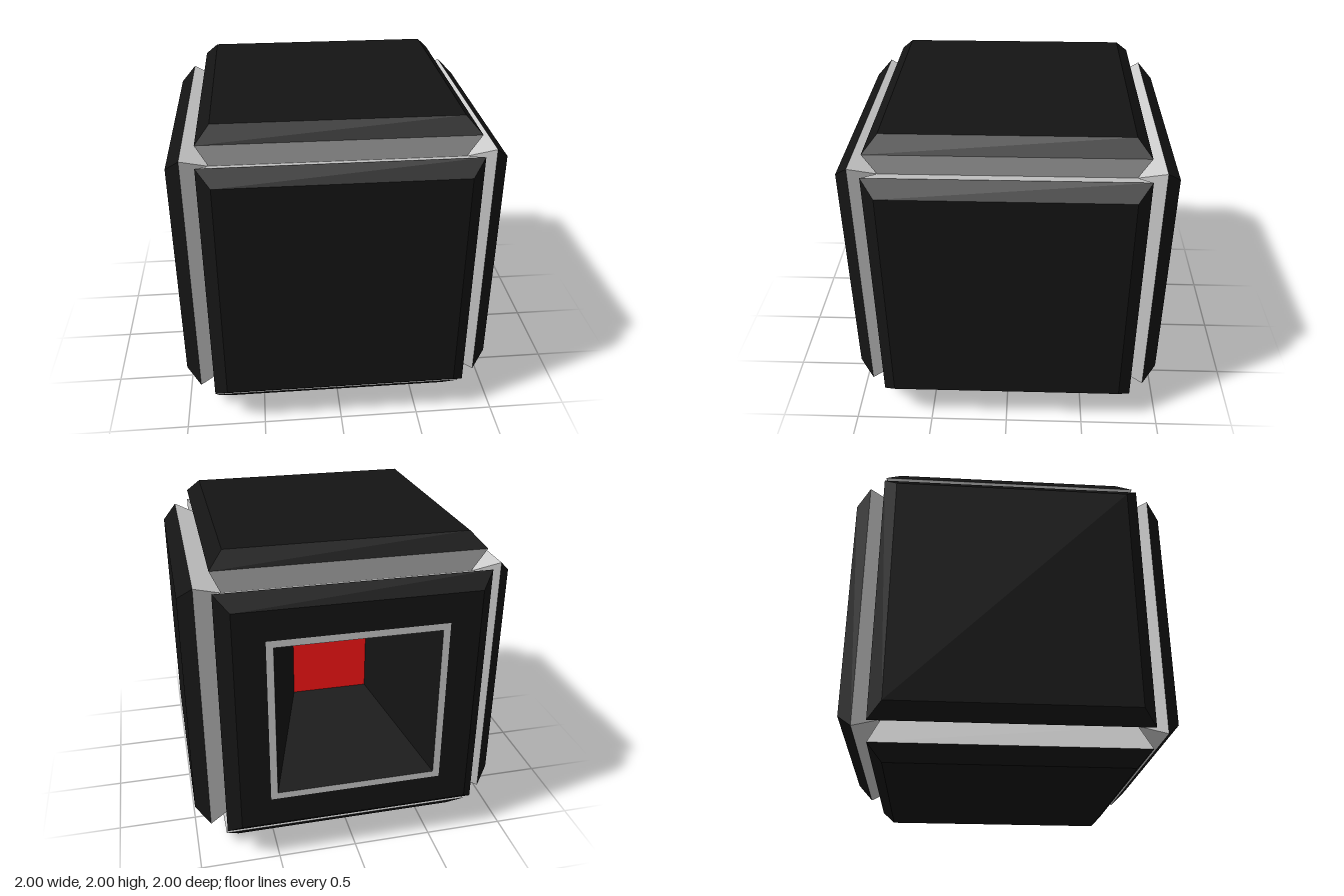
import * as THREE from 'three';

const black = new THREE.MeshStandardMaterial({ color: 0x141414, flatShading: true });
const grey = new THREE.MeshStandardMaterial({ color: 0xcccccc, flatShading: true });
const red = new THREE.MeshStandardMaterial({ color: 0xfc1515, flatShading: true });

// Joins square rings [half size, distance along +z]; optionally closes the last one.
function squareLoft(rings, cap = false) {
  const corners = [[-1, -1], [1, -1], [1, 1], [-1, 1]];
  const point = ([half, z], i) => {
    const [x, y] = corners[i % 4];
    return [x * half, y * half, z];
  };
  const pos = [];
  const quad = (a, b, c, d) => pos.push(...a, ...b, ...c, ...a, ...c, ...d);
  for (let r = 0; r < rings.length - 1; r++) {
    for (let i = 0; i < 4; i++) {
      quad(point(rings[r], i), point(rings[r], i + 1), point(rings[r + 1], i + 1), point(rings[r + 1], i));
    }
  }
  if (cap) {
    const last = rings[rings.length - 1];
    quad(point(last, 0), point(last, 1), point(last, 2), point(last, 3));
  }
  const geometry = new THREE.BufferGeometry();
  geometry.setAttribute('position', new THREE.Float32BufferAttribute(pos, 3));
  geometry.computeVertexNormals();
  return geometry;
}

function add(parent, name, geometry, material) {
  const mesh = new THREE.Mesh(geometry, material);
  mesh.name = name;
  parent.add(mesh);
}

export function createModel() {
  const model = new THREE.Group();
  model.name = 'panelledCube';

  const sides = [
    ['front', 0, 0], ['left', 0, Math.PI / 2], ['back', 0, Math.PI], ['right', 0, -Math.PI / 2],
    ['top', -Math.PI / 2, 0], ['bottom', Math.PI / 2, 0],
  ];

  for (const [name, rx, ry] of sides) {
    const side = new THREE.Group();
    side.name = name + 'Side';
    side.rotation.set(rx, ry, 0);
    side.position.y = 1;

    // Flared grey walls; neighbours meet in a V-shaped groove
    add(side, name + 'GrooveWalls', squareLoft([[0.75, 0.75], [0.815, 0.91]]), grey);

    const bevel = [[0.815, 0.91], [0.73, 1]];
    if (name === 'back') {
      // Panel with a framed, tapering recess that ends in a red plate
      add(side, 'backPanel', squareLoft([...bevel, [0.543, 1]]), black);
      add(side, 'openingFrame', squareLoft([[0.543, 1], [0.5, 1]]), grey);
      add(side, 'recessWalls', squareLoft([[0.5, 1], [0.25, 0.25]]), black);
      add(side, 'recessPlate', squareLoft([[0.25, 0.25]], true), red);
    } else {
      add(side, name + 'Panel', squareLoft(bevel, true), black);
    }
    model.add(side);
  }
  return model;
}
